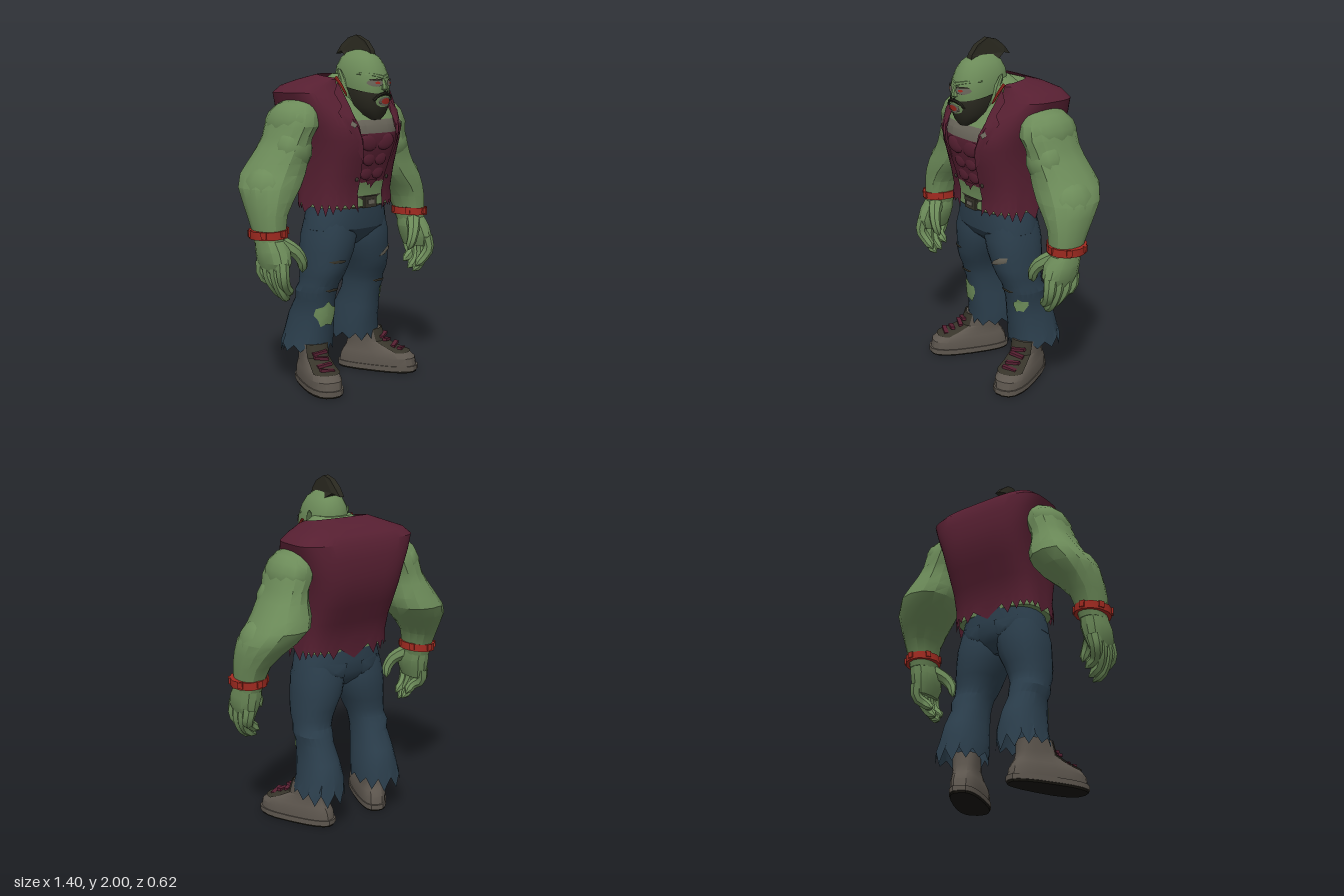
import * as THREE from 'three';
import { toCreasedNormals } from 'three/addons/utils/BufferGeometryUtils.js';

const colours = {
  skin: 0x6c8b59, maroon: 0x561f31, denim: 0x2b3e4c, boot: 0x5d564e, hair: 0x29281f,
  red: 0xa02a20, cloth: 0x69655a, leather: 0x37342a, sole: 0x16140f,
};
const mat = {};
const add = (parent, name, geo, colour) => {
  const m = new THREE.Mesh(geo, mat[colour]);
  m.name = name;
  parent.add(m);
  return m;
};
const sub = (parent, name) => {
  const g = new THREE.Group();
  g.name = name;
  parent.add(g);
  return g;
};

// Rings are [y, x, z, rx, rz, tilt, gap]; the angle starts at the front and turns to +x.
// n sets how square the front half is, nb the back half.
function loft(rings, { n = 2.3, nb = n, seg = 20, arc = 0, jag = 0, cap = true } = {}) {
  const pos = [], idx = [], w = seg + 1;
  rings.forEach(([y, x, z, rx, rz, tilt = 0, gap = 0], i) => {
    const t0 = arc ? -arc : Math.asin((gap / rx) ** (n / 2));
    const t1 = arc || 2 * Math.PI - t0;
    for (let j = 0; j <= seg; j++) {
      const t = t0 + ((t1 - t0) * j) / seg, e = 2 / (Math.cos(t) < 0 ? nb : n);
      const pw = (v) => Math.sign(v) * Math.abs(v) ** e;
      const dz = rz * pw(Math.cos(t));
      const rip = i ? 0 : jag * ((j % seg) % 2 ? 0.8 : -0.5 - 0.5 * Math.sin((j % seg) * 2.7));
      pos.push(x + rx * pw(Math.sin(t)), y + tilt * dz + rip, z + dz);
    }
  });
  for (let i = 0; i < rings.length - 1; i++)
    for (let j = 0; j < seg; j++) {
      const a = i * w + j, d = a + w;
      idx.push(a, a + 1, d + 1, a, d + 1, d);
    }
  if (cap) {
    const last = rings.length - 1, c = pos.length / 3;
    for (const i of [0, last]) pos.push(rings[i][1], rings[i][0], rings[i][2]);
    for (let j = 0; j < seg; j++) idx.push(c, j + 1, j, c + 1, last * w + j, last * w + j + 1);
  }
  const g = new THREE.BufferGeometry();
  g.setAttribute('position', new THREE.Float32BufferAttribute(pos, 3));
  g.setIndex(idx);
  return toCreasedNormals(g, 0.5);
}

// Ring interpolated at a height, and surface depth at (x, y)
function ringAt(rings, y) {
  let i = 0;
  while (i < rings.length - 2 && rings[i + 1][0] < y) i++;
  const k = THREE.MathUtils.clamp((y - rings[i][0]) / (rings[i + 1][0] - rings[i][0]), 0, 1);
  return rings[i].map((v, c) => (c ? v + (rings[i + 1][c] - v) * k : y));
}
const surface = (rings, n = 2.3, side = 1) => (x, y) => {
  const r = ringAt(rings, y);
  const u = Math.min(1, Math.abs((x - r[1]) / r[3]));
  return r[2] + side * r[4] * (1 - u ** n) ** (1 / n);
};

// Thin plate with outline pts laid over a surface
function plate(pts, depth, off = 0.007) {
  const steps = 4, m = pts.length, pos = [], idx = [];
  const cx = pts.reduce((s, p) => s + p[0], 0) / m, cy = pts.reduce((s, p) => s + p[1], 0) / m;
  for (let k = 0; k <= steps; k++)
    for (const [px, py] of pts) {
      const x = cx + ((px - cx) * k) / steps, y = cy + ((py - cy) * k) / steps;
      pos.push(x, y, depth(x, y) + off);
    }
  for (let k = 0; k < steps; k++)
    for (let j = 0; j < m; j++) {
      const a = k * m + j, b = k * m + ((j + 1) % m);
      idx.push(a, a + m, b + m, a, b + m, b);
    }
  const g = new THREE.BufferGeometry();
  g.setAttribute('position', new THREE.Float32BufferAttribute(pos, 3));
  g.setIndex(idx);
  g.computeVertexNormals();
  return g;
}
const blob = (x, y, rx, ry, rip = 0, m = 12) => Array.from({ length: m }, (_, i) => {
  const t = (i / m) * Math.PI * 2, k = 1 + rip * Math.sin(i * 2.6);
  return [x + rx * k * Math.cos(t), y + ry * k * Math.sin(t)];
});

// Tapered tube with a closed tip
function taper(points, r0, r1, seg = 7, sides = 7) {
  const curve = new THREE.CatmullRomCurve3(points.map((p) => new THREE.Vector3(...p)));
  const g = new THREE.TubeGeometry(curve, seg, 1, sides), p = g.attributes.position;
  const v = new THREE.Vector3();
  for (let i = 0; i < p.count; i++) {
    const k = Math.floor(i / (sides + 1)), c = curve.getPointAt(k / seg);
    v.fromBufferAttribute(p, i).sub(c).multiplyScalar(k === seg ? 0.003 : r0 + ((r1 - r0) * k) / seg).add(c);
    p.setXYZ(i, v.x, v.y, v.z);
  }
  return toCreasedNormals(g, 0.7);
}
const ball = (x, y, z, rx, ry, rz, tilt = 0) =>
  new THREE.SphereGeometry(1, 12, 8).scale(rx, ry, rz).rotateZ(tilt).translate(x, y, z);

const torso = [
  [1.03, 0, 0.015, 0.287, 0.185, 0, 0.1], [1.12, 0, 0.01, 0.28, 0.185, 0, 0.1],
  [1.22, 0, 0.005, 0.28, 0.215, 0, 0.1], [1.32, 0, -0.005, 0.285, 0.255, 0, 0.115],
  [1.42, 0, -0.01, 0.3, 0.285, 0, 0.14], [1.5, 0, -0.02, 0.32, 0.285, 0, 0.152],
  [1.6, 0, -0.055, 0.352, 0.25, 0, 0.16], [1.68, 0, -0.08, 0.38, 0.207, 0, 0.165],
  [1.72, 0, -0.078, 0.335, 0.18, 0, 0.168], [1.752, 0, -0.045, 0.25, 0.152, 0, 0.168],
  [1.772, 0, 0.01, 0.185, 0.09, -0.15, 0.165],
];
const head = [
  [1.55, 0, 0.2, 0.06, 0.07], [1.58, 0, 0.18, 0.09, 0.1], [1.65, 0, 0.16, 0.113, 0.135],
  [1.72, 0, 0.14, 0.12, 0.16], [1.77, 0, 0.13, 0.12, 0.163], [1.83, 0, 0.122, 0.108, 0.145],
  [1.875, 0, 0.118, 0.084, 0.118], [1.907, 0, 0.112, 0.047, 0.075], [1.92, 0, 0.11, 0.01, 0.015],
];
const beard = [
  [1.53, 0, 0.235, 0.03, 0.025], [1.56, 0, 0.2, 0.075, 0.08], [1.6, 0, 0.175, 0.102, 0.118],
  [1.66, 0, 0.16, 0.122, 0.143, -0.1], [1.71, 0, 0.14, 0.127, 0.16, -0.22],
];
const armRings = (s) => [
  [0.88, 0.6, 0, 0.068, 0.092], [0.95, 0.595, -0.01, 0.078, 0.105], [1.03, 0.588, -0.03, 0.092, 0.125],
  [1.1, 0.558, -0.055, 0.12, 0.152], [1.17, 0.515, -0.085, 0.157, 0.178], [1.24, 0.468, -0.108, 0.16, 0.192],
  [1.3, 0.44, -0.1, 0.147, 0.182], [1.38, 0.415, -0.08, 0.118, 0.17], [1.44, 0.395, -0.07, 0.102, 0.165],
  [1.5, 0.372, -0.06, 0.11, 0.175], [1.57, 0.35, -0.06, 0.1, 0.16], [1.62, 0.325, -0.06, 0.085, 0.12],
  [1.66, 0.31, -0.07, 0.02, 0.04],
].map(([y, x, ...r]) => [y, x * s, ...r]);
const legRings = (s) => [
  [0.2, 0.205, -0.113, 0.135, 0.155], [0.3, 0.195, -0.105, 0.125, 0.15], [0.4, 0.195, -0.085, 0.107, 0.145],
  [0.5, 0.195, -0.052, 0.097, 0.122], [0.55, 0.2, -0.04, 0.105, 0.126], [0.59, 0.193, -0.025, 0.102, 0.12],
  [0.64, 0.185, -0.01, 0.112, 0.132], [0.7, 0.172, -0.005, 0.122, 0.148], [0.78, 0.15, -0.005, 0.14, 0.16],
  [0.87, 0.138, 0, 0.144, 0.166], [0.96, 0.13, 0, 0.13, 0.15],
].map(([y, x, ...r]) => [y, x * s, ...r]);
const hips = [
  [0.81, 0, 0, 0.05, 0.08], [0.86, 0, 0, 0.2, 0.14], [0.91, 0, 0.005, 0.274, 0.169],
  [0.98, 0, 0.005, 0.262, 0.174], [1.06, 0, 0.005, 0.235, 0.17],
];

function buildBody(root) {
  const g = sub(root, 'torso');
  const slice = (a, b) => [ringAt(torso, a), ...torso.filter((r) => r[0] > a && r[0] < b), ringAt(torso, b)]
    .map(([y, x, z, rx, rz]) => [y, x, z, rx * 0.95, rz * 0.95]);
  const o = { n: 2.7, nb: 3.6, seg: 32 };
  add(g, 'belly', loft(slice(1.04, 1.18), o), 'skin');
  add(g, 'shirt', loft(slice(1.175, 1.455), o), 'maroon');
  add(g, 'tornShirtBand', loft(slice(1.455, 1.53), o), 'cloth');
  add(g, 'chest', loft(slice(1.53, 1.72), o), 'skin');
  add(g, 'neck', loft([[1.55, 0, 0, 0.2, 0.15], [1.68, 0, 0.03, 0.175, 0.13], [1.755, 0, 0.035, 0.16, 0.11], [1.785, 0, 0.05, 0.11, 0.1]]), 'skin');
  add(g, 'vest', loft(torso, { n: 2.9, nb: 4, seg: 48, jag: 0.038, cap: false }), 'maroon');
  const inner = surface(slice(1.04, 1.765), 2.7), outer = surface(torso, 2.9);
  add(g, 'shirtPoint', plate([[-0.05, 1.19], [-0.03, 1.16], [-0.01, 1.17], [0, 1.14], [0.02, 1.165], [0.05, 1.19]], inner), 'maroon');
  for (const s of [-1, 1]) {
    add(g, 'pectoral', ball(s * 0.07, 1.405, inner(0.07, 1.405) - 0.008, 0.075, 0.047, 0.016, s * 0.15), 'maroon');
    for (const y of [1.235, 1.315]) add(g, 'abdominal', ball(s * 0.047, y, inner(0.047, y) - 0.008, 0.052, 0.043, 0.015), 'maroon');
    const lapel = [[0.17, 1.74], [0.22, 1.68], [0.215, 1.61], [0.25, 1.575], [0.215, 1.47], [0.115, 1.29], [0.145, 1.42], [0.165, 1.6]];
    add(g, 'lapel', plate(lapel.map(([x, y]) => [x * s, y]), outer, 0.012), 'maroon');
    add(g, 'pin', plate(blob(s * 0.195, 1.51, 0.02, 0.02, 0, 4), outer, 0.018), 'cloth');
    add(g, 'button', ball(s * 0.125, 1.2, outer(0.125, 1.2), 0.012, 0.012, 0.008), 'leather');
    add(g, 'strap', taper([[s * 0.17, 1.765, 0.09], [s * 0.168, 1.72, 0.13], [s * 0.162, 1.665, 0.165]], 0.01, 0.007), 'red');
  }
}

function buildHead(root) {
  const g = sub(root, 'head'), face = surface(head), chin = surface(beard);
  add(g, 'skull', loft(head), 'skin');
  add(g, 'beard', loft(beard, { arc: 1.6, cap: false }), 'hair');
  add(g, 'muzzle', plate(blob(0, 1.633, 0.062, 0.034), chin, 0.006), 'skin');
  add(g, 'lips', plate(blob(0, 1.632, 0.05, 0.027), chin, 0.01), 'cloth');
  add(g, 'mouth', plate(blob(0, 1.634, 0.034, 0.017), chin, 0.014), 'red');
  add(g, 'moustache', taper([[-0.075, 1.64, 0.285], [-0.04, 1.67, 0.302], [0, 1.678, 0.308], [0.04, 1.67, 0.302], [0.075, 1.64, 0.285]], 0.008, 0.008), 'hair');
  add(g, 'nose', taper([[0, 1.76, 0.284], [0, 1.72, 0.295], [0, 1.69, 0.297]], 0.012, 0.023), 'skin');
  for (const s of [-1, 1]) {
    add(g, 'eyeSocket', plate(blob(s * 0.056, 1.735, 0.04, 0.021), face, 0.006), 'cloth');
    add(g, 'eye', plate(blob(s * 0.052, 1.735, 0.014, 0.007), face, 0.011), 'red');
    add(g, 'eyelid', plate(blob(s * 0.056, 1.752, 0.034, 0.006), face, 0.011), 'leather');
    add(g, 'brow', taper([[0, 1.762, 0.284], [s * 0.055, 1.776, 0.265], [s * 0.11, 1.785, 0.19]], 0.016, 0.009), 'skin');
    add(g, 'nostril', ball(s * 0.012, 1.688, 0.313, 0.006, 0.004, 0.006), 'hair');
    add(g, 'tusk', new THREE.ConeGeometry(0.007, 0.03, 6).translate(s * 0.038, 1.636, 0.302), 'cloth');
    add(g, 'ear', taper([[s * 0.115, 1.69, 0.105], [s * 0.122, 1.75, 0.095], [s * 0.134, 1.815, 0.075]], 0.023, 0.011), 'skin');
  }
  // Crest narrows toward its top and ends
  const crest = new THREE.Shape([[0.21, 1.87], [0.2, 1.915], [0.16, 1.965], [0.09, 2], [0.03, 1.985], [-0.02, 1.945], [-0.065, 1.895], [-0.01, 1.91], [0.04, 1.88]]
    .map(([z, y]) => new THREE.Vector2(-z, y)));
  const geo = new THREE.ExtrudeGeometry(crest, { depth: 0.07, bevelEnabled: false }).translate(0, 0, -0.035).rotateY(Math.PI / 2);
  const p = geo.attributes.position;
  for (let i = 0; i < p.count; i++) {
    const ends = 1 - 0.7 * Math.min(1, Math.abs((p.getZ(i) - 0.08) / 0.14)) ** 2;
    p.setX(i, 0.01 + p.getX(i) * Math.max(0.45, (2.04 - p.getY(i)) / 0.11) * ends);
  }
  geo.computeVertexNormals();
  add(g, 'mohawk', geo, 'hair');
}

function buildArm(root, s) {
  const g = sub(root, s > 0 ? 'leftArm' : 'rightArm');
  add(g, 'arm', loft(armRings(s), { seg: 14 }), 'skin');
  add(g, 'deltoid', ball(s * 0.376, 1.515, -0.065, 0.105, 0.125, 0.172, s * 0.3), 'skin');
  add(g, 'biceps', ball(s * 0.41, 1.37, -0.005, 0.115, 0.12, 0.1, s * 0.35), 'skin');
  add(g, 'forearmMuscle', ball(s * 0.572, 1.15, -0.07, 0.1, 0.14, 0.14, s * 0.15), 'skin');
  add(g, 'palm', loft([[0.72, s * 0.605, 0.04, 0.04, 0.09], [0.78, s * 0.605, 0.04, 0.066, 0.112], [0.84, s * 0.6, 0.025, 0.075, 0.108], [0.9, s * 0.6, 0, 0.068, 0.09]], { seg: 12 }), 'skin');
  [[0.115, 0.105, 0.6], [0.065, 0.08, 0.565], [0.01, 0.04, 0.58], [-0.04, 0.005, 0.62]].forEach(([z, zt, y]) =>
    add(g, 'finger', taper([[s * 0.615, 0.78, z], [s * 0.622, 0.7, z + 0.014], [s * 0.588, y + 0.045, zt + 0.008], [s * 0.53, y, zt]], 0.04, 0.026), 'skin'));
  add(g, 'thumb', taper([[s * 0.57, 0.88, 0.05], [s * 0.505, 0.83, 0.105], [s * 0.47, 0.77, 0.12], [s * 0.455, 0.71, 0.105]], 0.046, 0.024), 'skin');
  // Wristband with studs
  const band = sub(g, 'wristband');
  band.position.set(s * 0.6, 0.932, -0.008);
  band.rotation.z = -s * 0.06;
  const prof = [[0.07, -0.02], [0.1, -0.022], [0.1, 0.022], [0.07, 0.02], [0.07, -0.02]].map((q) => new THREE.Vector2(...q));
  add(band, 'band', toCreasedNormals(new THREE.LatheGeometry(prof, 12).scale(1.01, 1, 1.17), 0.6), 'red');
  for (let i = 0; i < 6; i++) {
    const t = (i / 6) * Math.PI * 2;
    add(band, 'stud', new THREE.BoxGeometry(0.03, 0.036, 0.016).rotateY(t).translate(Math.sin(t) * 0.099, 0.006, Math.cos(t) * 0.114), 'red');
  }
}

function buildLeg(root, s) {
  const g = sub(root, s > 0 ? 'leftLeg' : 'rightLeg'), rings = legRings(s);
  add(g, 'trouserLeg', loft(rings, { seg: 22, jag: 0.045, cap: false }), 'denim');
  const front = surface(rings);
  const rip = (name, c, ...b) => add(g, name, plate(blob(...b), front), c);
  if (s < 0) {
    rip('kneeHole', 'skin', -0.215, 0.42, 0.065, 0.068, 0.18);
    rip('thighRip', 'leather', -0.205, 0.735, 0.05, 0.009, 0.2);
    rip('kneeRip', 'leather', -0.2, 0.565, 0.05, 0.009, 0.2);
  } else {
    rip('kneeHole', 'skin', 0.262, 0.475, 0.027, 0.038, 0.18);
    const cut = [[0.13, 0.72], [0.18, 0.73], [0.245, 0.755], [0.25, 0.785], [0.2, 0.775], [0.16, 0.75]];
    add(g, 'thighRip', plate(cut, front), 'cloth');
    rip('kneeRip', 'leather', 0.2, 0.565, 0.05, 0.009, 0.2);
  }
  // Boot, toes turned out
  const b = sub(g, 'boot');
  b.position.set(s * 0.262, 0, 0.03);
  b.rotation.y = s * 0.42;
  const widen = (geo) => {
    const p = geo.attributes.position;
    for (let i = 0; i < p.count; i++) p.setX(i, p.getX(i) * (1 + 0.7 * p.getZ(i)));
    return toCreasedNormals(geo, 0.5);
  };
  const o = { n: 2.5, nb: 2.9 };
  add(b, 'tread', widen(loft([[0, 0, 0, 0.09, 0.242], [0.012, 0, 0, 0.092, 0.245]], o)), 'sole');
  add(b, 'welt', widen(loft([[0.012, 0, 0, 0.096, 0.25], [0.04, 0, 0, 0.096, 0.25]], o)), 'boot');
  const upper = [[0.04, 0, 0, 0.09, 0.24], [0.085, 0, 0, 0.092, 0.232], [0.115, 0, -0.01, 0.086, 0.205], [0.14, 0, -0.04, 0.08, 0.157], [0.175, 0, -0.075, 0.077, 0.112], [0.25, 0, -0.085, 0.08, 0.097]];
  add(b, 'upper', widen(loft(upper, o)), 'boot');
  add(b, 'tongue', widen(loft(upper.slice(2).map(([y, x, z, rx, rz]) => [y + 0.004, x, z, rx + 0.006, rz + 0.006]), { n: 2.5, arc: 0.85, seg: 10, cap: false })), 'leather');
  [[0.132, 0.148], [0.152, 0.107], [0.178, 0.057], [0.205, 0.037]].forEach(([y, z], i) =>
    add(b, 'lace', new THREE.BoxGeometry(0.085, 0.016, 0.026).rotateZ(i % 2 ? 0.15 : -0.15).translate(0, y + 0.004, z), 'maroon'));
}

export function createModel() {
  for (const [name, color] of Object.entries(colours)) {
    mat[name] = new THREE.MeshStandardMaterial({ color, side: THREE.DoubleSide });
    mat[name].name = name;
  }
  const root = new THREE.Group();
  root.name = 'ogre';
  buildBody(root);
  buildHead(root);
  add(root, 'trouserSeat', loft(hips, { n: 2.5, seg: 26 }), 'denim');
  add(root, 'belt', loft([[1.03, 0, 0.005, 0.25, 0.178], [1.1, 0, 0.005, 0.24, 0.186]], { n: 2.5, seg: 14, arc: 0.9, cap: false }), 'leather');
  add(root, 'buckle', new THREE.BoxGeometry(0.1, 0.065, 0.02).translate(0, 1.063, 0.192), 'leather');
  add(root, 'bucklePlate', new THREE.BoxGeometry(0.05, 0.024, 0.008).translate(0, 1.063, 0.203), 'cloth');
  const rear = surface(hips, 2.5, -1);
  for (const s of [-1, 1]) {
    const pocket = [[0.05, 0.97], [0.19, 0.98], [0.185, 0.89], [0.12, 0.87], [0.06, 0.885]];
    add(root, 'backPocket', plate(pocket.map(([x, y]) => [x * s, y]), rear, -0.009), 'denim');
    buildArm(root, s);
    buildLeg(root, s);
  }
  return root;
}
